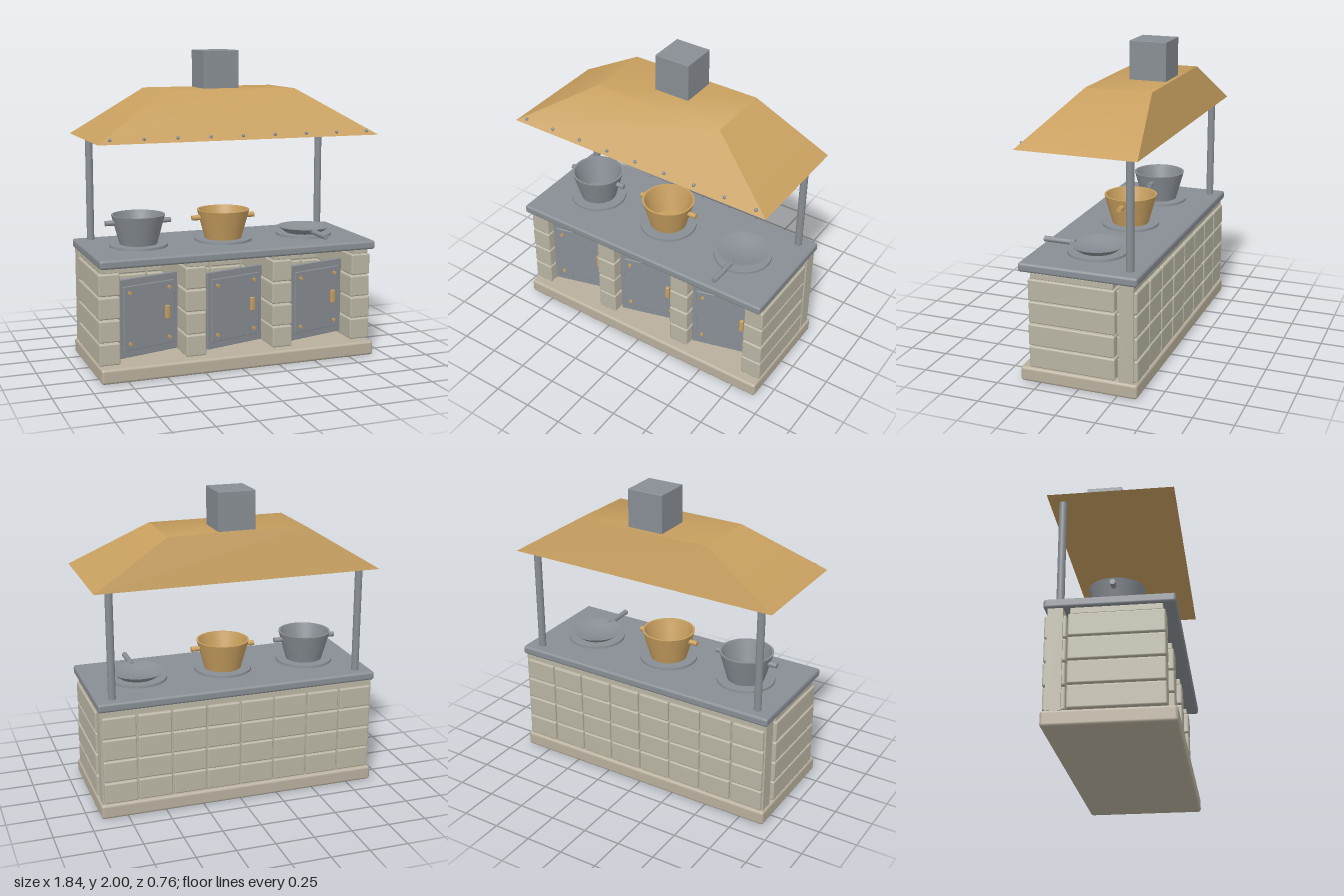
import * as THREE from 'three';
import { toCreasedNormals } from 'three/addons/utils/BufferGeometryUtils.js';
import { RoundedBoxGeometry } from 'three/addons/geometries/RoundedBoxGeometry.js';

const mat = (name, color, side = THREE.FrontSide) => {
  const m = new THREE.MeshStandardMaterial({ color, side });
  m.name = name;
  return m;
};

export function createModel() {
  const stone = mat('stone', 0xb9b4a3);
  const plinthStone = mat('plinth stone', 0xb8af9d);
  const steel = mat('steel', 0x888e94);
  const brass = mat('brass', 0xc89f5f);

  const root = new THREE.Group();
  root.name = 'outdoorKitchen';

  const add = (parent, name, geo, material, x = 0, y = 0, z = 0) => {
    const m = new THREE.Mesh(geo, material);
    m.name = name;
    m.position.set(x, y, z);
    parent.add(m);
    return m;
  };
  // Rounded box given by its centre and size
  const block = (parent, name, material, x, y, z, w, h, d, r = 0.01) =>
    add(parent, name, new RoundedBoxGeometry(w, h, d, 2, r), material, x, y, z);
  const group = (name, x = 0, y = 0, z = 0, parent = root) => {
    const g = new THREE.Group();
    g.name = name;
    g.position.set(x, y, z);
    parent.add(g);
    return g;
  };
  let seed = 7;
  const jitter = (a) => {
    seed = (seed * 16807) % 2147483647;
    return (seed / 2147483647 - 0.5) * 2 * a;
  };

  // Plinth and worktop
  block(root, 'plinth', plinthStone, 0, 0.0475, 0, 1.84, 0.095, 0.76, 0.018);
  block(root, 'worktop', steel, 0, 0.743, 0, 1.84, 0.057, 0.76, 0.016);

  // Stone piers: four courses and a thin cap each
  const rowY = (r) => 0.17 + r * 0.145;
  for (const x of [-0.85, -0.295, 0.29, 0.848]) {
    const pier = group('pier', x);
    for (let r = 0; r < 4; r++) {
      block(pier, 'pierStone', stone, jitter(0.003), rowY(r), 0.041 + jitter(0.003),
        0.134 + jitter(0.004), 0.138, 0.556);
    }
    block(pier, 'pierCap', stone, 0, 0.695, 0.04, 0.11, 0.038, 0.53, 0.004);
  }

  // Back wall: core slab faced with stones on both sides
  const wall = group('backWall', 0, 0, -0.31);
  add(wall, 'wallCore', new THREE.BoxGeometry(1.815, 0.62, 0.09), stone, 0, 0.405, 0);
  for (let c = 0; c < 8; c++) {
    for (let r = 0; r < 4; r++) {
      block(wall, 'wallStone', stone, (c - 3.5) * 0.2255, rowY(r), jitter(0.003),
        0.216 + jitter(0.004), 0.138, 0.13);
    }
  }

  // Cabinet doors, slightly ajar, with bolts and a pull
  for (const x of [-0.575, 0, 0.575]) {
    const door = group('door', x, 0.37, 0.205);
    door.rotation.y = 0.27;
    block(door, 'doorFrame', steel, 0, 0, 0, 0.428, 0.5, 0.02, 0.004);
    block(door, 'doorPanel', steel, 0, 0, 0.012, 0.37, 0.41, 0.014, 0.004);
    for (const sx of [-1, 1]) {
      for (const sy of [-1, 1]) {
        const bolt = add(door, 'doorBolt', new THREE.CylinderGeometry(0.012, 0.012, 0.012, 12),
          brass, sx * 0.144, sy * 0.162, 0.023);
        bolt.rotation.x = Math.PI / 2;
      }
    }
    block(door, 'doorPull', brass, 0.125, 0.005, 0.03, 0.026, 0.085, 0.024, 0.004);
  }

  // Posts carrying the hood
  for (const x of [-0.815, 0.815]) {
    add(root, 'post', new THREE.CylinderGeometry(0.024, 0.024, 0.71, 20), steel, x, 1.115, -0.3);
  }

  // Hood: frustum with steep back, lofted between two rectangles
  const ring = (hx, z0, z1, y) => [-hx, y, z1, hx, y, z1, hx, y, z0, -hx, y, z0];
  const hood = new THREE.BufferGeometry();
  hood.setAttribute('position', new THREE.Float32BufferAttribute(
    [...ring(0.92, -0.382, 0.382, 1.465), ...ring(0.445, -0.3, 0.125, 1.757)], 3));
  const faces = [4, 5, 6, 4, 6, 7, 0, 2, 1, 0, 3, 2];
  for (let i = 0; i < 4; i++) {
    const j = (i + 1) % 4;
    faces.push(i, j, j + 4, i, j + 4, i + 4);
  }
  hood.setIndex(faces);
  add(root, 'hood', toCreasedNormals(hood, 0.9), brass);
  add(root, 'chimney', new RoundedBoxGeometry(0.24, 0.26, 0.24, 1, 0.004), steel, 0, 1.87, -0.155);

  // Rivets along the front edge of the hood
  for (let i = -4; i <= 4; i++) {
    add(root, 'rivet', new THREE.SphereGeometry(0.011, 12, 8), steel, i * 0.211, 1.49, 0.362);
  }

  // Open vessel with wall thickness
  const vessel = (parent, name, material, r0, r1, h, t) => {
    const pts = [[0, 0], [r0, 0], [r1, h], [r1 - t, h], [r0 - t, t], [0, t]]
      .map(([a, b]) => new THREE.Vector2(a, b));
    return add(parent, name, toCreasedNormals(new THREE.LatheGeometry(pts, 40), 0.6), material);
  };
  const rod = (parent, name, material, r, len, x, y, z, axis) => {
    const m = add(parent, name, new THREE.CylinderGeometry(r, r, len, 16), material, x, y, z);
    m.rotation[axis] = Math.PI / 2;
  };

  // Hotplates, two pots and a pan
  for (const [x, material] of [[-0.575, steel], [0, brass], [0.575, null]]) {
    const plate = group('cookingPlace', x, 0.77, 0);
    add(plate, 'hotplate', new THREE.CylinderGeometry(0.186, 0.188, 0.018, 40), steel, 0, 0.008, 0);
    if (material) {
      const pot = group('pot', 0, 0.017, 0, plate);
      vessel(pot, 'potBody', material, 0.12, 0.172, 0.188, 0.013);
      for (const s of [-1, 1]) rod(pot, 'potHandle', material, 0.017, 0.06, s * 0.185, 0.14, 0, 'z');
    } else {
      const pan = group('pan', 0, 0.017, 0, plate);
      vessel(pan, 'panBody', steel, 0.12, 0.174, 0.04, 0.01);
      rod(pan, 'panHandle', steel, 0.018, 0.205, 0, 0.026, 0.252, 'x');
    }
  }
  return root;
}
